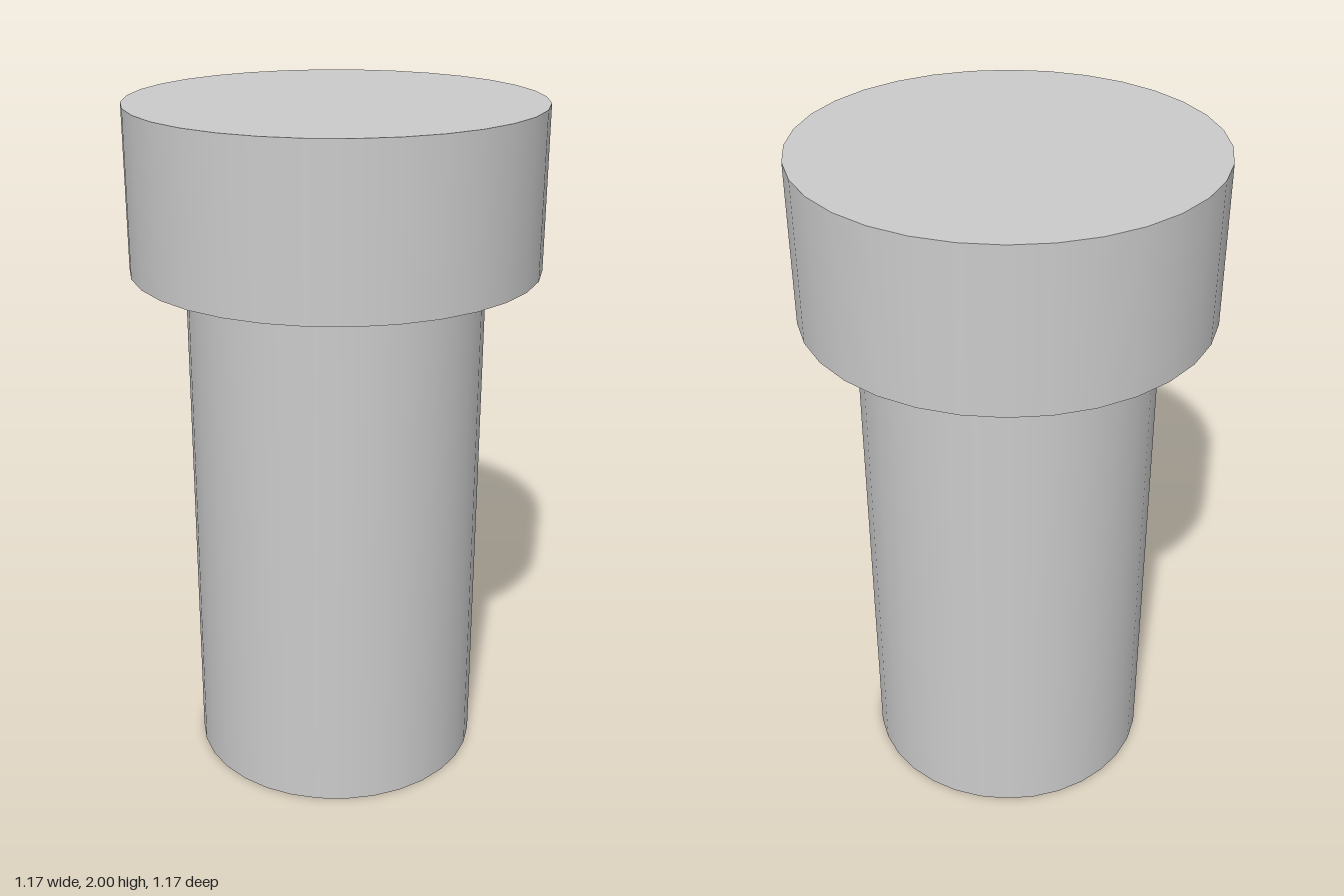
import * as THREE from 'three';

const SIDES = 32;

export function createModel() {
  const model = new THREE.Group();
  model.name = 'pin';
  const material = new THREE.MeshStandardMaterial({ color: 0xcccccc });

  // Upright cylinder between two heights
  const addCylinder = (name, radius, bottom, top) => {
    const height = top - bottom;
    const mesh = new THREE.Mesh(new THREE.CylinderGeometry(radius, radius, height, SIDES), material);
    mesh.name = name;
    mesh.position.y = bottom + height / 2;
    model.add(mesh);
  };

  addCylinder('shaft', 0.43, 0, 1.535);
  addCylinder('head', 0.587, 1.535, 2);

  return model;
}
